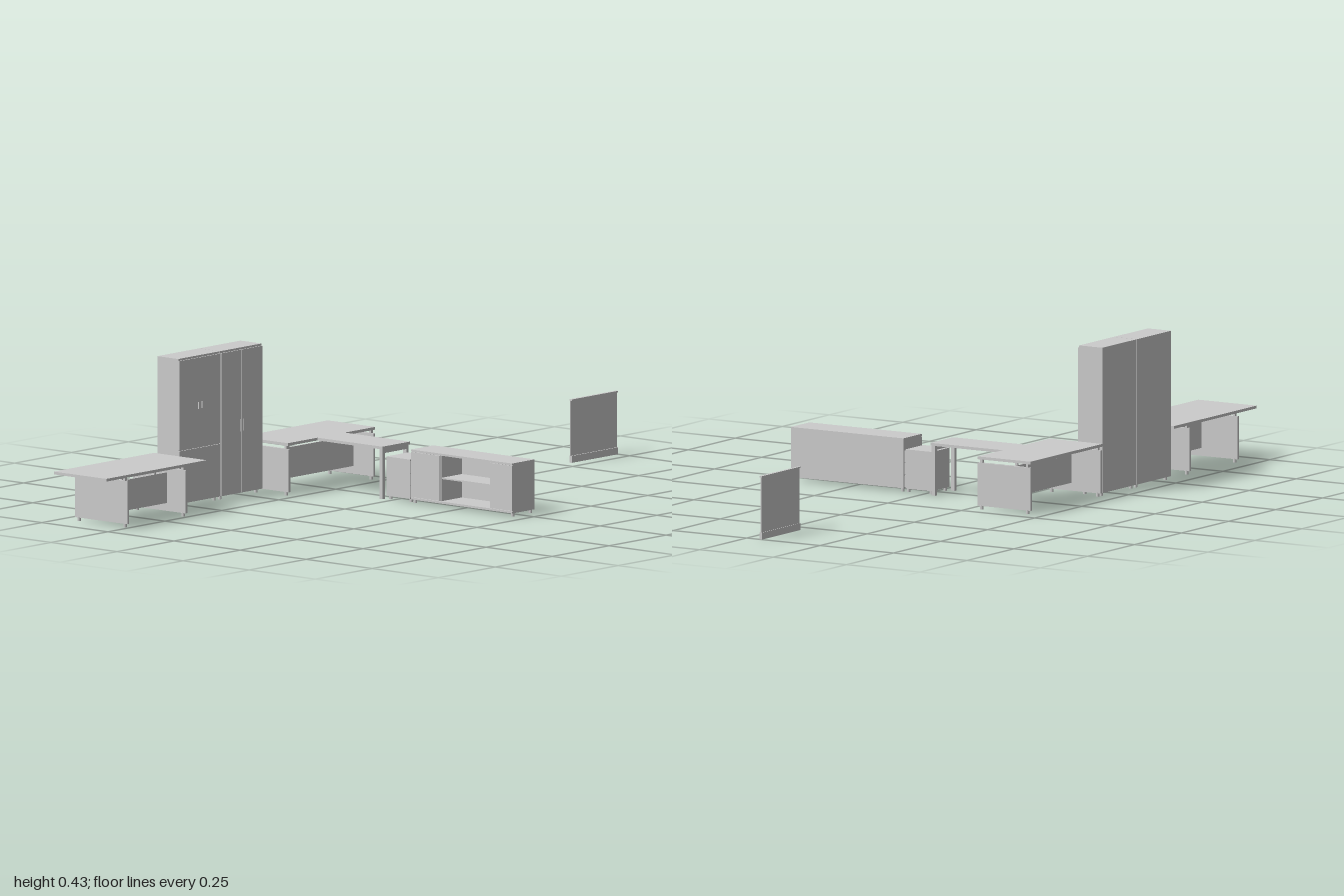
import * as THREE from 'three';

const material = new THREE.MeshStandardMaterial({ color: 0xcccccc });

// Box given by its extents along each axis.
function box(parent, name, [x0, x1], [y0, y1], [z0, z1]) {
  const mesh = new THREE.Mesh(new THREE.BoxGeometry(x1 - x0, y1 - y0, z1 - z0), material);
  mesh.position.set((x0 + x1) / 2, (y0 + y1) / 2, (z0 + z1) / 2);
  mesh.name = name;
  parent.add(mesh);
  return mesh;
}

function part(parent, name) {
  const group = new THREE.Group();
  group.name = name;
  parent.add(group);
  return group;
}

// Short round feet at every combination of xs and zs.
function feet(parent, xs, zs, r = 0.005) {
  for (const x of xs) for (const z of zs) {
    const foot = new THREE.Mesh(new THREE.CylinderGeometry(r, r, 0.012, 12), material);
    foot.position.set(x, 0.006, z);
    foot.name = 'foot';
    parent.add(foot);
  }
}

const TOP = [0.145, 0.153];

// Desk on two slab legs, with a modesty panel and spacers under the top.
function desk(parent, name, topX, topZ, legXs, legZ, panelZ) {
  const g = part(parent, name);
  box(g, 'deskTop', topX, TOP, topZ);
  const t = 0.004;
  const footZs = [legZ[0] + 0.012, legZ[1] - 0.012];
  for (const x of legXs) {
    box(g, 'slabLeg', [x - t, x + t], [0.01, 0.135], legZ);
    for (const z of footZs) box(g, 'legSpacer', [x - t, x + t], [0.135, TOP[0]], [z - 0.004, z + 0.004]);
  }
  feet(g, legXs, footZs);
  box(g, 'modestyPanel', [legXs[0] + t, legXs[1] - t], [0.033, 0.122], [panelZ - 0.003, panelZ + 0.003]);
  const span = legXs[1] - legXs[0];
  for (const f of [0.22, 0.78]) {
    const x = legXs[0] + f * span;
    box(g, 'panelBracket', [x - 0.003, x + 0.003], [0.115, TOP[0]], [panelZ - 0.004, panelZ + 0.004]);
  }
  return g;
}

// Tall cupboard: carcass, rows of paired doors and their handles.
function tallCabinet(parent, name, x0, x1, rows, handleY) {
  const g = part(parent, name);
  box(g, 'carcass', [x0, x1], [0.01, 0.432], [-0.455, -0.376]);
  const mid = (x0 + x1) / 2;
  for (const [y0, y1] of rows) {
    box(g, 'doorRight', [x0 + 0.001, mid - 0.001], [y0, y1], [-0.376, -0.372]);
    box(g, 'doorLeft', [mid + 0.001, x1 - 0.001], [y0, y1], [-0.376, -0.372]);
  }
  for (const s of [-1, 1]) {
    const x = mid + s * 0.008;
    box(g, 'handle', [x - 0.001, x + 0.001], handleY, [-0.372, -0.369]);
  }
  feet(g, [x0 + 0.012, x1 - 0.012], [-0.443, -0.387]);
}

export function createModel() {
  const model = new THREE.Group();
  model.name = 'officeFurniture';

  // Separate desk and the main desk
  desk(model, 'sideDesk', [-1, -0.56], [-0.455, -0.256], [-0.905, -0.65], [-0.453, -0.255], -0.328);
  desk(model, 'mainDesk', [-0.18, 0.203], [-0.455, -0.276], [-0.174, 0.198], [-0.455, -0.275], -0.353);

  // Return table joined to the main desk, on a portal frame
  const table = part(model, 'returnTable');
  box(table, 'tableTop', [-0.05, 0.07], TOP, [-0.276, -0.03]);
  for (const x of [-0.047, 0.057]) box(table, 'post', [x, x + 0.01], [0, TOP[0]], [-0.044, -0.032]);
  box(table, 'crossBar', [-0.037, 0.057], [0.133, TOP[0]], [-0.044, -0.032]);

  // Pair of tall cupboards
  tallCabinet(model, 'rightTallCabinet', -0.545, -0.3635, [[0.012, 0.164], [0.166, 0.426]], [0.278, 0.298]);
  tallCabinet(model, 'leftTallCabinet', -0.3615, -0.18, [[0.012, 0.426]], [0.19, 0.225]);

  // Drawer pedestal
  const pedestal = part(model, 'drawerPedestal');
  box(pedestal, 'carcass', [-0.038, 0.055], [0.01, 0.124], [-0.025, 0.064]);
  for (let i = 0; i < 3; i++) {
    const y = 0.014 + i * 0.036;
    box(pedestal, 'drawerFront', [-0.037, 0.054], [y, y + 0.034], [0.064, 0.068]);
    box(pedestal, 'drawerHandle', [-0.007, 0.024], [y + 0.024, y + 0.027], [0.068, 0.07]);
  }
  feet(pedestal, [-0.028, 0.045], [-0.017, 0.06]);

  // Low cabinet with a shelved open bay between two closed bays
  const low = part(model, 'lowCabinet');
  const z = [0.072, 0.18, 0.37, 0.455];
  box(low, 'top', [-0.043, 0.055], [0.149, 0.155], [z[0], z[3]]);
  box(low, 'bottom', [-0.043, 0.055], [0.01, 0.016], [z[0], z[3]]);
  box(low, 'backPanel', [0.051, 0.055], [0.016, 0.149], [z[0], z[3]]);
  for (const c of [z[0] + 0.003, z[1], z[2], z[3] - 0.003])
    box(low, 'upright', [-0.039, 0.051], [0.016, 0.149], [c - 0.003, c + 0.003]);
  box(low, 'shelf', [-0.036, 0.051], [0.08, 0.084], [z[1] + 0.003, z[2] - 0.003]);
  for (const i of [0, 2]) box(low, 'door', [-0.043, -0.039], [0.017, 0.148], [z[i], z[i + 1]]);
  feet(low, [-0.033, 0.045], [0.08, 0.448]);

  // Free-standing board with thin rails
  const board = part(model, 'board');
  box(board, 'panel', [0.796, 1], [0, 0.182], [-0.05, -0.047]);
  box(board, 'topRail', [0.796, 1], [0.18, 0.184], [-0.052, -0.043]);
  box(board, 'bottomRail', [0.796, 1], [0, 0.02], [-0.052, -0.043]);

  return model;
}
